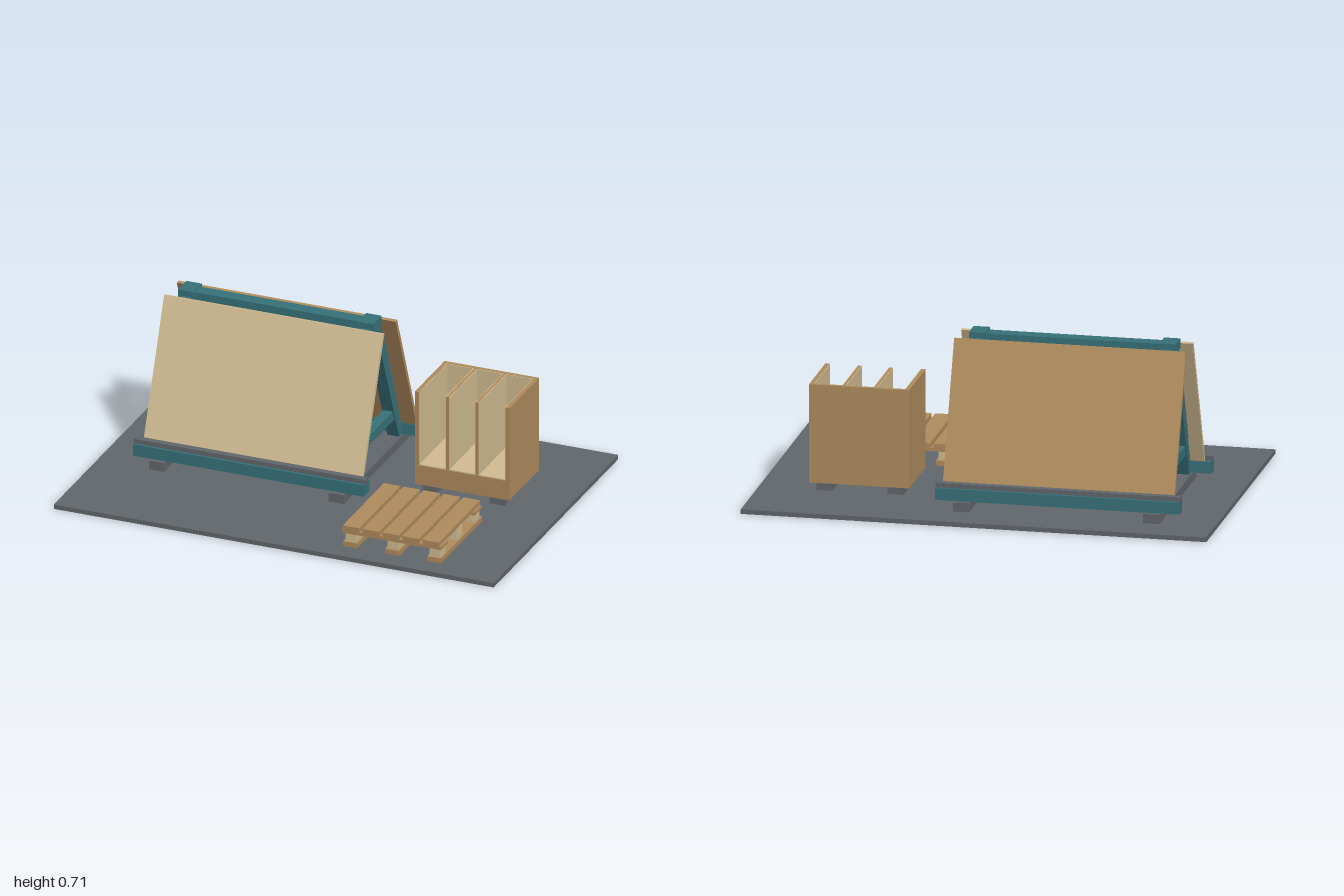
import * as THREE from 'three';

const mat = (name, color) => {
  const m = new THREE.MeshStandardMaterial({ color });
  m.name = name;
  return m;
};

export function createModel() {
  const gray = mat('slate gray', 0x62676c);
  const teal = mat('teal paint', 0x37727a);
  const brown = mat('brown wood', 0xb08c5e);
  const tan = mat('pale wood', 0xd2bc92);

  const model = new THREE.Group();
  const group = (name) => {
    const g = new THREE.Group();
    g.name = name;
    model.add(g);
    return g;
  };
  // Box given by its limits on each axis
  const box = (parent, name, m, [x0, x1], [y0, y1], [z0, z1]) => {
    const mesh = new THREE.Mesh(new THREE.BoxGeometry(x1 - x0, y1 - y0, z1 - z0), m);
    mesh.position.set((x0 + x1) / 2, (y0 + y1) / 2, (z0 + z1) / 2);
    mesh.name = name;
    parent.add(mesh);
    return mesh;
  };
  // Side profile of [z, y] points extruded along x
  const prism = (parent, name, m, pts, [x0, x1]) => {
    const shape = new THREE.Shape(pts.map(([z, y]) => new THREE.Vector2(z, y)));
    const geo = new THREE.ExtrudeGeometry(shape, { depth: x1 - x0, bevelEnabled: false });
    geo.rotateY(-Math.PI / 2).translate(x1, 0, 0);
    const mesh = new THREE.Mesh(geo, m);
    mesh.name = name;
    parent.add(mesh);
  };

  box(model, 'groundSlab', gray, [-1, 1], [0, 0.02], [-0.68, 0.68]);

  // A-frame rack, mirrored about its own ridge
  const rack = group('aFrameRack');
  rack.position.z = -0.158;
  const frames = [-0.73, 0.088];
  for (const x of frames) {
    const span = [x - 0.027, x + 0.027];
    box(rack, 'skid', gray, [x - 0.035, x + 0.035], [0.02, 0.06], [-0.365, 0.365]);
    box(rack, 'ridgeCap', teal, [x - 0.035, x + 0.035], [0.672, 0.715], [-0.046, 0.046]);
    box(rack, 'crossbar', teal, [x - 0.022, x + 0.022], [0.157, 0.2], [-0.225, 0.225]);
    for (const s of [-1, 1]) {
      prism(rack, 'leg', teal,
        [[s * 0.255, 0.06], [s * 0.3, 0.06], [s * 0.046, 0.69], [0, 0.69], [0, 0.68]], span);
      prism(rack, 'legPad', gray,
        [[s * 0.234, 0.22], [s * 0.25, 0.225], [s * 0.096, 0.607], [s * 0.08, 0.602]], span);
    }
  }
  box(rack, 'ridgeBeam', teal, [-0.72, 0.08], [0.65, 0.708], [-0.03, 0.03]);

  // Crossed diagonals under the ridge
  for (const s of [-1, 1]) {
    const brace = box(rack, 'diagonalBrace', teal, [-0.46, 0.46], [-0.016, 0.016], [-0.016, 0.016]);
    brace.position.set(-0.32, 0.43, s * 0.001);
    brace.rotation.z = s * Math.atan2(0.46, 0.8);
  }

  // Sills, rubber strips and leaning sheets
  for (const s of [-1, 1]) {
    const z = (a, b) => (s > 0 ? [a, b] : [-b, -a]);
    box(rack, 'sillBeam', teal, [-0.845, 0.205], [0.06, 0.112], z(0.285, 0.345));
    box(rack, 'sillStrip', gray, [-0.845, 0.205], [0.112, 0.132], z(0.303, 0.333));
    prism(rack, 'leaningSheet', s > 0 ? tan : brown,
      [[s * 0.288, 0.112], [s * 0.306, 0.112], [s * 0.078, 0.693], [s * 0.061, 0.69]],
      [-0.815, 0.18]);
  }

  // Slotted crate with an open front and top
  const crate = group('slottedCrate');
  for (const x of [0.412, 0.718])
    box(crate, 'crateFoot', gray, [x - 0.034, x + 0.034], [0.02, 0.056], [-0.325, -0.035]);
  box(crate, 'crateBase', brown, [0.35, 0.78], [0.056, 0.145], [-0.345, -0.021]);
  box(crate, 'crateBack', brown, [0.35, 0.78], [0.145, 0.485], [-0.345, -0.328]);
  for (const x of [0.359, 0.771])
    box(crate, 'crateSide', brown, [x - 0.009, x + 0.009], [0.056, 0.485], [-0.345, -0.02]);
  const dividers = [0.498, 0.632];
  for (const x of dividers)
    box(crate, 'divider', brown, [x - 0.006, x + 0.006], [0.145, 0.484], [-0.328, -0.022]);
  // Pale lining of each slot
  const edges = [[0.368, 0.492], [0.504, 0.626], [0.638, 0.762]];
  for (const [a, b] of edges) {
    box(crate, 'slotFloor', tan, [a, b], [0.145, 0.15], [-0.328, -0.022]);
    box(crate, 'slotBack', tan, [a, b], [0.15, 0.484], [-0.328, -0.324]);
    box(crate, 'slotLining', tan, [a, a + 0.003], [0.15, 0.484], [-0.324, -0.023]);
    box(crate, 'slotLining', tan, [b - 0.003, b], [0.15, 0.484], [-0.324, -0.023]);
  }

  // Pallet
  const pallet = group('pallet');
  for (let i = 0; i < 5; i++) {
    const x = 0.275 + i * 0.0905;
    box(pallet, 'deckSlat', brown, [x, x + 0.075], [0.093, 0.115], [0.138, 0.587]);
  }
  for (const z of [0.181, 0.547])
    box(pallet, 'crossBoard', brown, [0.273, 0.722], [0.08, 0.094], [z - 0.038, z + 0.038]);
  for (const x of [0.308, 0.5, 0.69]) {
    box(pallet, 'bottomRunner', brown, [x - 0.032, x + 0.032], [0.02, 0.042], [0.138, 0.587]);
    for (const z of [0.181, 0.367, 0.547])
      box(pallet, 'spacerBlock', tan, [x - 0.024, x + 0.024],
        [0.042, z === 0.367 ? 0.093 : 0.08], [z - 0.031, z + 0.031]);
  }
  return model;
}
